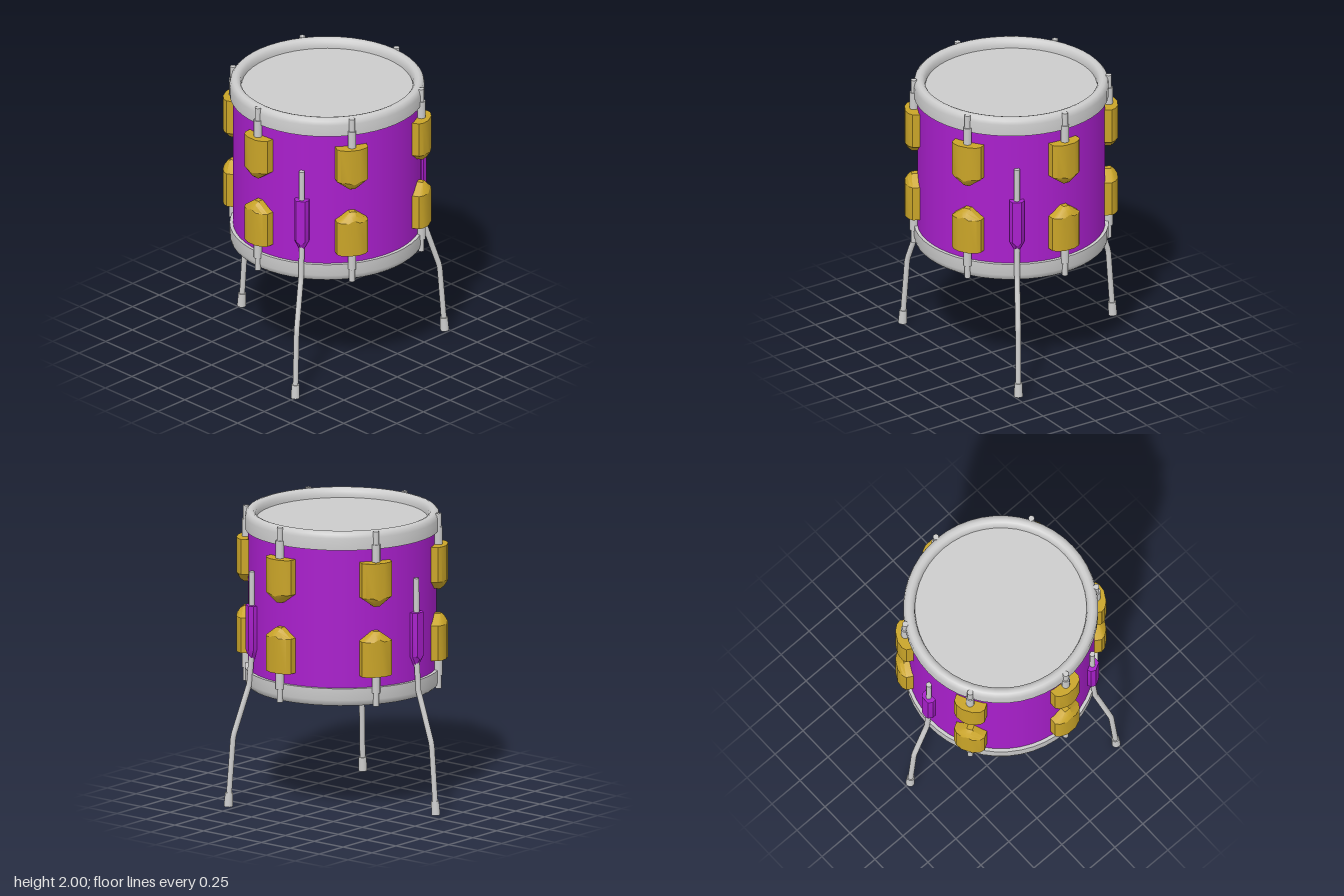
import * as THREE from 'three';
import { toCreasedNormals } from 'three/addons/utils/BufferGeometryUtils.js';

const grey = new THREE.MeshStandardMaterial({ color: 0xcccccc });
const purple = new THREE.MeshStandardMaterial({ color: 0xa91fcc });
const gold = new THREE.MeshStandardMaterial({ color: 0xc9a428 });

function add(parent, name, geometry, material, y = 0, z = 0) {
  const mesh = new THREE.Mesh(geometry, material);
  mesh.name = name;
  mesh.position.set(0, y, z);
  parent.add(mesh);
  return mesh;
}

// Stacks a counter-clockwise outline along z; each layer is [z, width scale, lift of the lower tip]
function loft(outline, layers) {
  const n = outline.length;
  const low = Math.min(...outline.map(p => p[1]));
  const pos = [], index = [];
  for (const [z, sx, lift] of layers) {
    for (const [x, y] of outline) pos.push(x * sx, Math.max(y, low + lift), z);
  }
  for (let i = 0; i < layers.length - 1; i++) {
    for (let j = 0; j < n; j++) {
      const a = i * n + j, b = i * n + (j + 1) % n;
      index.push(a, b, b + n, a, b + n, a + n);
    }
  }
  const f = (layers.length - 1) * n;
  for (let j = 1; j < n - 1; j++) index.push(f, f + j, f + j + 1, 0, j + 1, j);
  const g = new THREE.BufferGeometry();
  g.setAttribute('position', new THREE.Float32BufferAttribute(pos, 3));
  g.setIndex(index);
  return toCreasedNormals(g, 0.5);
}

// Rod with round section through points (y, z), with mitred bends
function rod(points, r, sides = 12) {
  const path = new THREE.CurvePath();
  const v = points.map(([y, z]) => new THREE.Vector3(0, y, z));
  for (let i = 0; i < v.length - 1; i++) path.add(new THREE.LineCurve3(v[i], v[i + 1]));
  return new THREE.TubeGeometry(path, 40, r, sides);
}

// Group whose local +z points outward from the drum axis
function spoke(parent, name, angle) {
  const g = new THREE.Group();
  g.name = name;
  g.rotation.y = angle;
  parent.add(g);
  return g;
}

export function createModel() {
  const model = new THREE.Group();
  model.name = 'floorDrum';
  const drum = new THREE.Group();
  drum.name = 'drum';
  drum.position.set(-0.005, 0, 0.092);
  model.add(drum);

  // Shell and the two heads
  add(drum, 'shell', new THREE.CylinderGeometry(0.627, 0.627, 0.97, 48, 1, true), purple, 1.395);
  add(drum, 'heads', new THREE.CylinderGeometry(0.59, 0.59, 1.07, 48), grey, 1.395);

  // Rounded hoops, the lower one mirrored
  const profile = [[0.6, 1.87], [0.65, 1.87], [0.65, 1.95], [0.643, 1.977], [0.629, 1.991],
    [0.61, 1.995], [0.591, 1.988], [0.578, 1.972], [0.572, 1.945], [0.572, 1.92]];
  const flipped = profile.map(([r, y]) => [r, 2.79 - y]).reverse();
  [['topHoop', profile], ['bottomHoop', flipped]].forEach(([name, p]) => {
    const g = new THREE.LatheGeometry(p.map(q => new THREE.Vector2(...q)), 48);
    add(drum, name, toCreasedNormals(g, 0.8), grey);
  });

  // Lugs with tension rods: six pairs around the shell
  const lugShape = loft(
    [[-0.02, 0.085], [0.02, 0.085], [0.107, 0.15], [0.107, 0.39], [-0.107, 0.39], [-0.107, 0.15]],
    [[0.59, 1, 0], [0.665, 1, 0], [0.69, 0.8, 0.02], [0.71, 0.35, 0.05]]);
  const sleeve = new THREE.CylinderGeometry(0.028, 0.028, 0.14, 14);
  const pin = new THREE.CylinderGeometry(0.02, 0.02, 0.12, 14);
  for (let k = 0; k < 6; k++) {
    const column = spoke(drum, 'lugColumn', Math.PI / 6 + k * Math.PI / 3);
    for (const turn of [0, Math.PI]) {
      const half = new THREE.Group();
      half.name = turn ? 'lowerLug' : 'upperLug';
      half.position.y = 1.393;
      half.rotation.z = turn;
      column.add(half);
      add(half, 'lug', lugShape, gold);
      add(half, 'rodSleeve', sleeve, grey, 0.44, 0.65);
      add(half, 'tensionRod', pin, grey, 0.54, 0.65);
    }
  }

  // Three bent legs, each held by a bracket
  const bracketShape = loft(
    [[-0.012, 1.02], [0.012, 1.02], [0.05, 1.09], [0.05, 1.39], [-0.05, 1.39], [-0.05, 1.09]],
    [[0.61, 0.9, 0], [0.65, 1, 0], [0.678, 0.6, 0.05]]);
  const legShape = rod([[1.62, 0.642], [1.05, 0.645], [0.85, 0.66], [0.5, 0.775], [0.1, 0.805]], 0.019);
  const tip = new THREE.CylinderGeometry(0.019, 0.019, 0.01, 12);
  const footShape = new THREE.CylinderGeometry(0.026, 0.03, 0.095, 16);
  [['backLeg', Math.PI, 0], ['leftLeg', Math.PI / 3, 0], ['rightLeg', -Math.PI / 3, -0.022]]
    .forEach(([name, angle, drop]) => {
      const leg = spoke(drum, name, angle);
      add(leg, 'legBracket', bracketShape, purple);
      add(leg, 'legRod', legShape, grey, drop);
      add(leg, 'legRodEnd', tip, grey, 1.616 + drop, 0.642);
      add(leg, 'foot', footShape, grey, 0.07 + drop, 0.807).rotation.x = -0.06;
    });

  return model;
}
